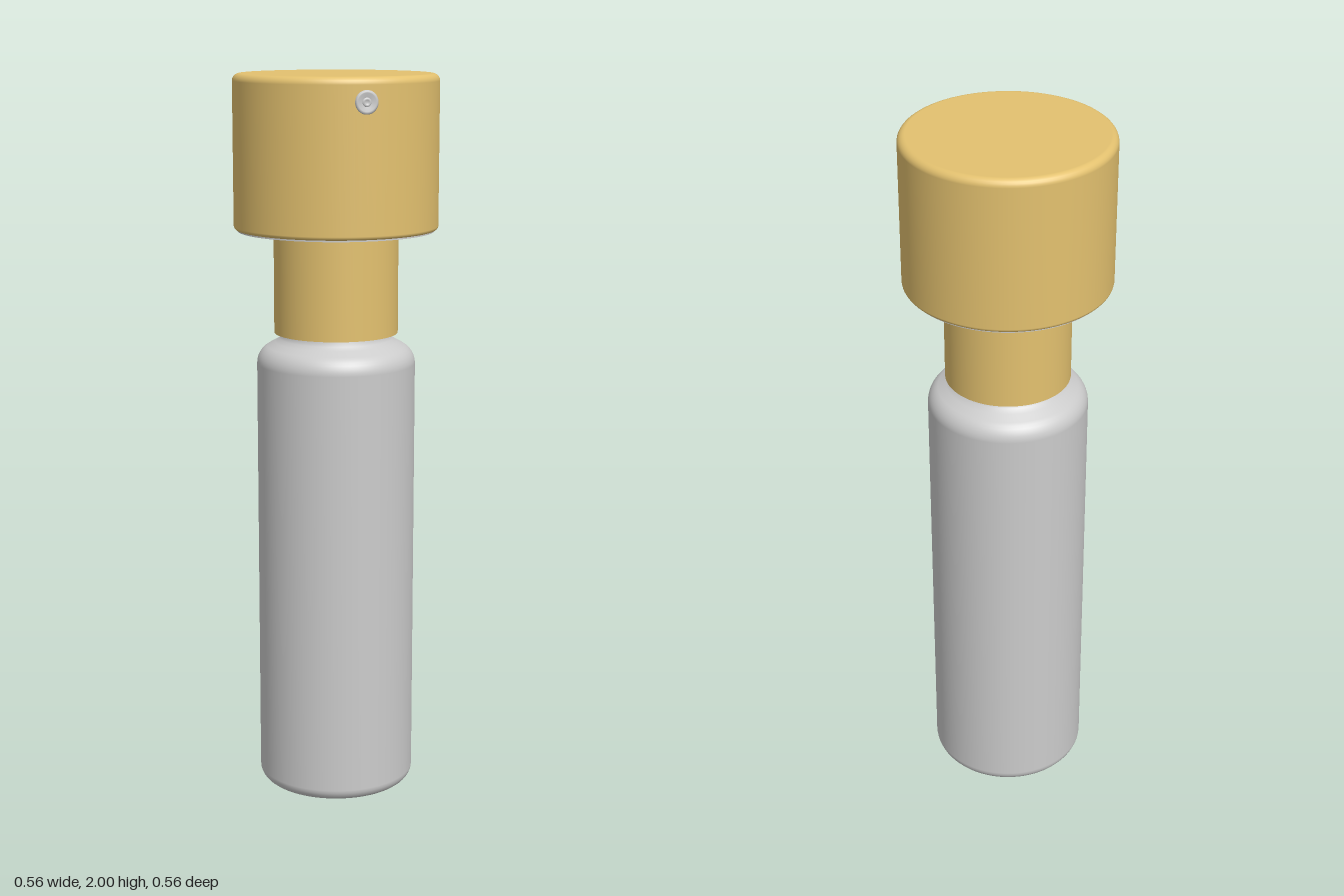
import * as THREE from 'three';

const grey = new THREE.MeshStandardMaterial({ color: 0xcccccc });
const gold = new THREE.MeshStandardMaterial({ color: 0xe3c16f });

// Revolves a profile given from bottom to top; a repeated point makes a hard edge
function lathe(name, profile, material, segments = 96) {
  const points = profile.map(([r, y]) => new THREE.Vector2(r, y));
  const mesh = new THREE.Mesh(new THREE.LatheGeometry(points, segments), material);
  mesh.name = name;
  return mesh;
}

// Quarter-round profile points around a centre, angles in degrees
function arc(cx, cy, r, from, to, steps = 6) {
  return Array.from({ length: steps + 1 }, (_, i) => {
    const a = THREE.MathUtils.degToRad(from + (to - from) * i / steps);
    return [cx + r * Math.cos(a), cy + r * Math.sin(a)];
  });
}

export function createModel() {
  const group = new THREE.Group();
  group.name = 'sprayBottle';

  // Bottle with rounded foot, soft shoulder and narrow neck
  group.add(lathe('bottle', [
    [0, 0], [0.18, 0],
    ...arc(0.183, 0.035, 0.035, -90, 0),
    ...arc(0.163, 1.215, 0.055, 0, 60),
    [0.168, 1.275], [0.155, 1.284], [0.148, 1.295], [0.145, 1.32],
  ], grey));

  // Collar between the bottle and the cap
  group.add(lathe('collar', [
    [0.14, 1.3], [0.17, 1.3], [0.17, 1.3], [0.17, 1.6],
  ], gold));

  // Cap with softened rims
  group.add(lathe('cap', [
    [0.262, 1.584], ...arc(0.268, 1.594, 0.01, -90, 0, 4),
    ...arc(0.258, 1.98, 0.02, 0, 90), [0, 2],
  ], gold));

  // Grey insert closing the underside of the cap
  group.add(lathe('capInsert', [
    [0.16, 1.58], [0.268, 1.58], [0.268, 1.58], [0.268, 1.59],
  ], grey));

  // Small dished nozzle, nearly flush with the cap wall
  const nozzle = new THREE.Group();
  nozzle.name = 'nozzle';
  const ring = lathe('nozzleRing', [
    [0.031, -0.006], [0.031, 0.001], [0.027, 0.003], [0.024, 0.003],
    [0.012, 0.0005], [0.012, 0.0005], [0.01, 0.003], [0.006, 0.003],
    [0.005, 0.001], [0, 0.001],
  ], grey, 32);
  ring.rotation.x = Math.PI / 2;
  ring.position.z = 0.278;
  nozzle.add(ring);
  nozzle.position.y = 1.936;
  nozzle.rotation.y = -Math.asin(0.042 / 0.278);
  group.add(nozzle);

  return group;
}
